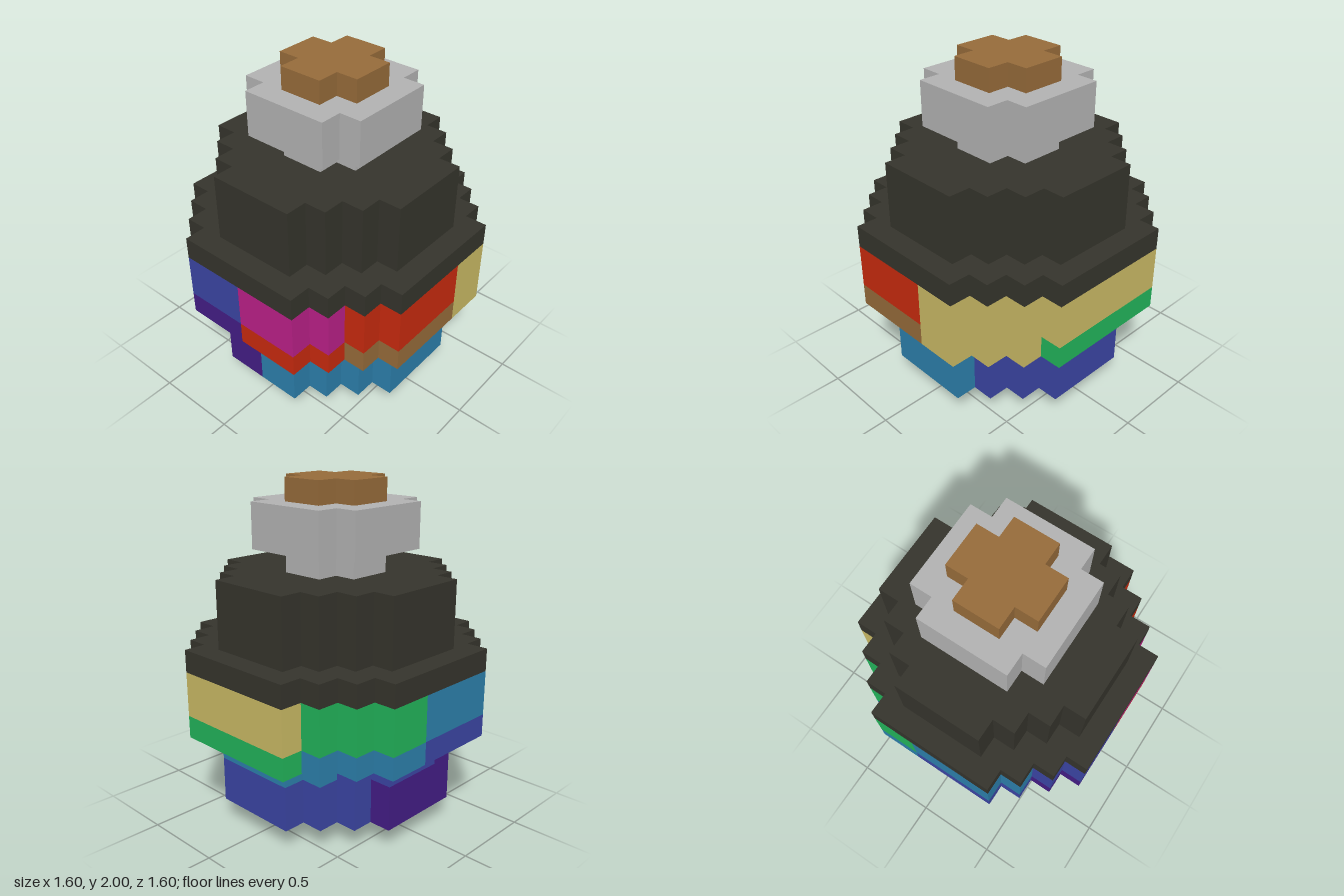
import * as THREE from 'three';
import { mergeGeometries } from 'three/addons/utils/BufferGeometryUtils.js';

const U = 2 / 15; // one block

const mat = (name, color) => new THREE.MeshStandardMaterial({ name, color });
const M = {
  brown: mat('brown', 0x966b3a),
  grey: mat('grey', 0xb2b2b2),
  charcoal: mat('charcoal', 0x35342c),
  magenta: mat('magenta', 0xba2088),
  red: mat('red', 0xc82a0e),
  yellow: mat('yellow', 0xc9b964),
  green: mat('green', 0x22b35a),
  blue: mat('blue', 0x2c7fab),
  indigo: mat('indigo', 0x3b45a3),
  purple: mat('purple', 0x431d85),
};

// Stepped discs: half-width of each block row, counted outward from the centre
const DISC = {
  2: [2, 1],
  3: [3, 3, 2],
  5: [5, 5, 4, 3, 2],
  6: [6, 6, 6, 5, 4, 3],
};

// Is the block centred on (x, z) inside the disc?
const inside = (r, x, z) => Math.abs(x) < (DISC[r][Math.floor(Math.abs(z))] ?? 0);

// Solid stepped disc in one colour, from block height y0 to y1
function plainDisc(name, r, y0, y1, material) {
  const points = [];
  for (let q = 0; q < 4; q++) {
    DISC[r].forEach((w, i) => {
      for (let [x, y] of [[w, i], [w, i + 1]]) {
        for (let k = 0; k < q; k++) [x, y] = [-y, x];
        const last = points[points.length - 1];
        if (!last || last.x !== x * U || last.y !== y * U) points.push(new THREE.Vector2(x * U, y * U));
      }
    });
  }
  const geo = new THREE.ExtrudeGeometry(new THREE.Shape(points), { depth: (y1 - y0) * U, bevelEnabled: false });
  geo.rotateX(-Math.PI / 2).translate(0, y0 * U, 0);
  const mesh = new THREE.Mesh(geo, material);
  mesh.name = name;
  return mesh;
}

// Stepped disc split into equal coloured sectors, running from -x past the front to +x and round the back
function sectorBand(name, r, y0, y1, below, colours) {
  const group = new THREE.Group();
  group.name = name;
  const h = (y1 - y0) * U;
  const faces = colours.map(() => []);
  for (let x = -r + 0.5; x < r; x++) {
    for (let z = -r + 0.5; z < r; z++) {
      if (!inside(r, x, z)) continue;
      const turn = (Math.PI - Math.atan2(z, x)) / (2 * Math.PI);
      const list = faces[Math.floor(turn * colours.length)];
      // outer walls
      for (let k = 0; k < 4; k++) {
        const a = (k * Math.PI) / 2;
        const dx = Math.round(Math.sin(a)), dz = Math.round(Math.cos(a));
        if (inside(r, x + dx, z + dz)) continue;
        list.push(new THREE.PlaneGeometry(U, h).rotateY(a)
          .translate((x + dx / 2) * U, y0 * U + h / 2, (z + dz / 2) * U));
      }
      // underside where it overhangs the part below
      if (!inside(below, x, z)) {
        list.push(new THREE.PlaneGeometry(U, U).rotateX(Math.PI / 2).translate(x * U, y0 * U, z * U));
      }
    }
  }
  faces.forEach((list, i) => {
    if (!list.length) return;
    const mesh = new THREE.Mesh(mergeGeometries(list), M[colours[i]]);
    mesh.name = `${name}Sector${i + 1}`;
    group.add(mesh);
  });
  return group;
}

export function createModel() {
  const model = new THREE.Group();
  model.name = 'steppedOrnament';
  model.add(
    plainDisc('foot', 2, 0, 1, M.grey),
    // coloured lower body
    sectorBand('lowerBand', 5, 1, 3, 2, ['blue', 'indigo', 'purple']),
    sectorBand('middleBand', 5, 3, 4, 5, ['yellow', 'green', 'blue', 'indigo', 'purple']),
    sectorBand('rimBand', 6, 4, 5, 5, ['red', 'brown', 'yellow', 'green', 'blue', 'indigo', 'purple']),
    sectorBand('upperBand', 6, 5, 7, 6, ['magenta', 'red', 'yellow', 'yellow', 'green', 'blue', 'indigo']),
    // dark shoulders
    plainDisc('collar', 6, 7, 8, M.charcoal),
    plainDisc('shoulder', 5, 8, 11, M.charcoal),
    // neck and stopper
    plainDisc('neck', 2, 11, 12, M.grey),
    plainDisc('lip', 3, 12, 14, M.grey),
    plainDisc('stopper', 2, 14, 15, M.brown),
  );
  return model;
}
